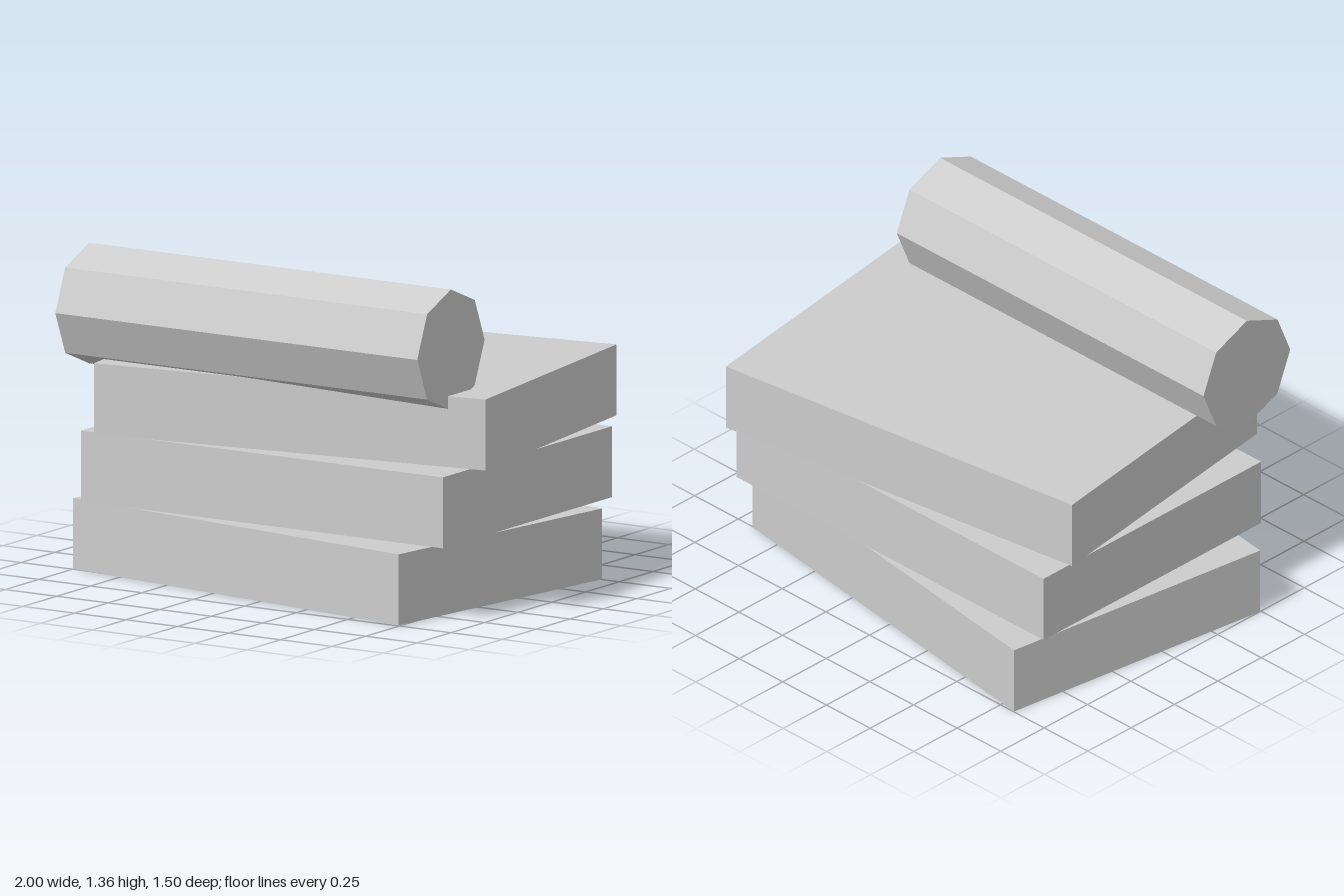
import * as THREE from 'three';

export function createModel() {
  const model = new THREE.Group();
  const grey = new THREE.MeshStandardMaterial({ color: 0xcccccc, flatShading: true });
  grey.name = 'light grey';

  // Stack of three slabs, the outer two twisted opposite ways
  const slabs = [
    { name: 'bottomSlab', x: -0.043, y: 0.147, turn: -0.14 },
    { name: 'middleSlab', x: 0, y: 0.462, turn: 0 },
    { name: 'topSlab', x: 0.043, y: 0.776, turn: 0.14 },
  ];
  const slabGeometry = new THREE.BoxGeometry(1.757, 0.294, 1.255);
  for (const { name, x, y, turn } of slabs) {
    const slab = new THREE.Mesh(slabGeometry, grey);
    slab.name = name;
    slab.position.set(x, y, -0.004);
    slab.rotation.y = turn;
    model.add(slab);
  }

  // Eight-sided roll lying along the front edge, sunk slightly into the top slab
  const roll = new THREE.Mesh(new THREE.CylinderGeometry(0.25, 0.25, 1.757, 8), grey);
  roll.name = 'roll';
  roll.rotation.z = Math.PI / 2;
  roll.position.set(-0.043, 1.112, 0.498);
  model.add(roll);

  return model;
}
